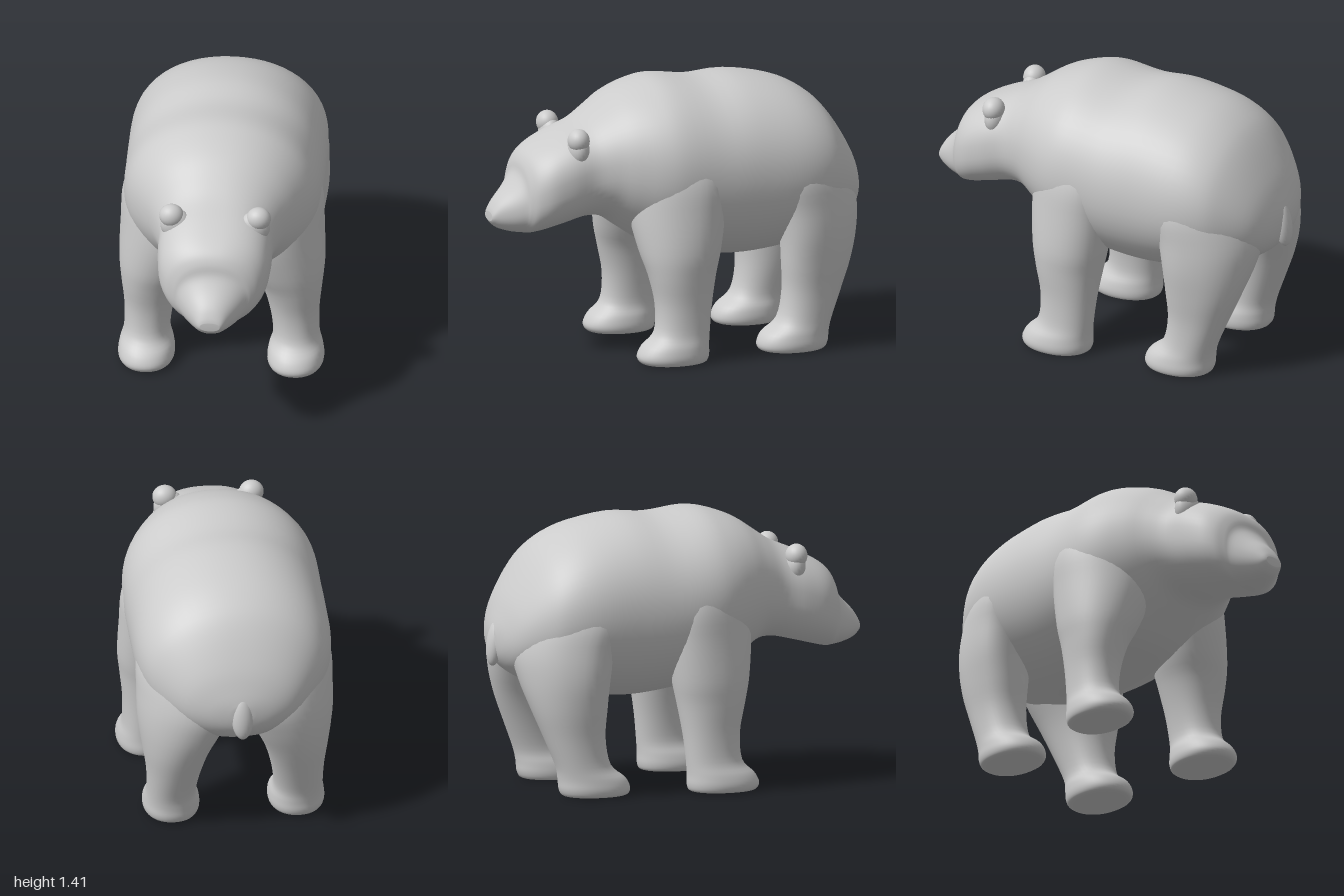
import * as THREE from 'three';

const material = new THREE.MeshStandardMaterial({ color: 0xcccccc });

// Smooth interpolation through four neighbouring values
function spline(a, b, c, d, t) {
  return b + 0.5 * t * (c - a + t * (2 * a - 5 * b + 4 * c - d + t * (3 * (b - c) + d - a)));
}

// Skin through rounded sections; each row is [t, uMin, uMax, vMin, vMax, skew, power].
// Along z: u = x, v = y.  Along y: u = z, v = x.
function loft(name, axis, rows, sides, steps = 4) {
  const rings = [];
  for (let i = 0; i < rows.length - 1; i++) {
    const r = [-1, 0, 1, 2].map(k => rows[Math.min(Math.max(i + k, 0), rows.length - 1)]);
    for (let s = 0; s < steps; s++) {
      rings.push(r[1].map((_, k) => spline(r[0][k], r[1][k], r[2][k], r[3][k], s / steps)));
    }
  }
  rings.push(rows[rows.length - 1]);

  const positions = [], index = [];
  const add = (u, v, t) => positions.push(...(axis === 'z' ? [u, v, t] : [v, t, u]));
  for (const [t, u0, u1, v0, v1, skew, power] of rings) {
    const round = w => Math.sign(w) * Math.abs(w) ** (2 / power);
    for (let j = 0; j < sides; j++) {
      const a = (j / sides) * Math.PI * 2;
      const c = round(Math.cos(a)), s = round(Math.sin(a));
      add((u0 + u1) / 2 + (u1 - u0) / 2 * c, (v0 + v1) / 2 + (v1 - v0) / 2 * s + skew * c, t);
    }
  }
  for (let i = 0; i < rings.length - 1; i++) {
    for (let j = 0; j < sides; j++) {
      const a = i * sides + j, b = i * sides + (j + 1) % sides;
      index.push(a, b, a + sides, b, b + sides, a + sides);
    }
  }
  // End caps
  const first = rings.length * sides, lastRing = first - sides;
  for (const [t, u0, u1, v0, v1] of [rings[0], rings[rings.length - 1]]) {
    add((u0 + u1) / 2, (v0 + v1) / 2, t);
  }
  for (let j = 0; j < sides; j++) {
    const k = (j + 1) % sides;
    index.push(first, k, j, first + 1, lastRing + j, lastRing + k);
  }
  const geometry = new THREE.BufferGeometry();
  geometry.setAttribute('position', new THREE.Float32BufferAttribute(positions, 3));
  geometry.setIndex(index);
  geometry.computeVertexNormals();
  const mesh = new THREE.Mesh(geometry, material);
  mesh.name = name;
  return mesh;
}

function ellipsoid(name, x, y, z, rx, ry, rz) {
  const geometry = new THREE.SphereGeometry(1, 24, 16).scale(rx, ry, rz);
  const mesh = new THREE.Mesh(geometry, material);
  mesh.name = name;
  mesh.position.set(x, y, z);
  return mesh;
}

// Body, neck and head from rump to nose: z, half width, bottom, top, squareness
const BODY = [
  [-0.97, 0.05, 0.74, 0.83, 2], [-0.95, 0.17, 0.68, 0.90, 2], [-0.90, 0.29, 0.62, 1.02, 2.1],
  [-0.80, 0.40, 0.56, 1.18, 2.1], [-0.70, 0.465, 0.53, 1.28, 2.1], [-0.55, 0.50, 0.49, 1.355, 2.1],
  [-0.32, 0.505, 0.465, 1.40, 2.1], [-0.12, 0.505, 0.48, 1.39, 2.1], [0.08, 0.50, 0.52, 1.413, 2.1],
  [0.20, 0.47, 0.57, 1.395, 2.1], [0.32, 0.405, 0.65, 1.35, 2.15], [0.42, 0.34, 0.715, 1.285, 2.2],
  [0.52, 0.295, 0.725, 1.22, 2.3], [0.64, 0.29, 0.70, 1.17, 2.4], [0.74, 0.275, 0.675, 1.12, 2.4],
  [0.805, 0.24, 0.66, 1.075, 2.3], [0.838, 0.20, 0.66, 1.025, 2.2], [0.855, 0.175, 0.662, 0.965, 2.2],
  [0.90, 0.138, 0.67, 0.905, 2.2], [0.96, 0.09, 0.69, 0.845, 2.2], [0.99, 0.065, 0.715, 0.80, 2.2],
  [1.0, 0.05, 0.73, 0.775, 2.2],
];

// Legs from sole to shoulder or hip: y, back z, front z, inner x, outer x, skew
const FRONT_LEG = [
  [0.0, -0.01, 0.28, 0.27, 0.49, 0], [0.008, -0.035, 0.315, 0.245, 0.515, 0],
  [0.04, -0.045, 0.33, 0.235, 0.525, 0], [0.09, -0.045, 0.305, 0.242, 0.518, 0],
  [0.16, -0.05, 0.24, 0.262, 0.498, 0], [0.30, -0.065, 0.23, 0.245, 0.497, 0],
  [0.45, -0.09, 0.26, 0.205, 0.512, 0], [0.58, -0.115, 0.295, 0.15, 0.523, -0.02],
  [0.78, -0.14, 0.325, 0.09, 0.512, -0.05], [0.96, -0.14, 0.31, 0.10, 0.496, -0.06],
  [1.16, -0.08, 0.24, 0.16, 0.425, -0.04],
];
const HIND_LEG = [
  [0.0, -0.67, -0.39, 0.21, 0.43, 0], [0.008, -0.70, -0.355, 0.185, 0.455, 0],
  [0.04, -0.715, -0.345, 0.175, 0.465, 0], [0.09, -0.72, -0.37, 0.18, 0.46, 0],
  [0.16, -0.735, -0.45, 0.198, 0.45, 0], [0.30, -0.79, -0.48, 0.18, 0.455, 0.01],
  [0.45, -0.85, -0.475, 0.145, 0.475, 0.03], [0.60, -0.897, -0.465, 0.09, 0.488, 0.06],
  [0.75, -0.915, -0.44, 0.03, 0.485, 0.08], [0.92, -0.86, -0.40, 0.04, 0.475, 0.08],
  [1.10, -0.74, -0.42, 0.10, 0.39, 0.04],
];

export function createModel() {
  const bear = new THREE.Group();
  bear.name = 'bear';
  const body = BODY.map(([z, w, low, high, power]) => [z, -w, w, low, high, 0, power]);
  bear.add(loft('bodyAndHead', 'z', body, 56));

  for (const side of [1, -1]) {
    const label = side > 0 ? 'left' : 'right';
    const place = rows => rows.map(([y, back, front, inner, outer, skew]) => side > 0
      ? [y, back, front, inner, outer, skew, 2.15]
      : [y, back, front, -outer, -inner, -skew, 2.15]);
    bear.add(loft(label + 'FrontLeg', 'y', place(FRONT_LEG), 40));
    bear.add(loft(label + 'HindLeg', 'y', place(HIND_LEG), 40));

    // Round ear on a broad base
    const ear = new THREE.Group();
    ear.name = label + 'Ear';
    ear.add(ellipsoid('earTip', side * 0.222, 1.16, 0.595, 0.063, 0.06, 0.056));
    ear.add(ellipsoid('earBase', side * 0.2, 1.105, 0.59, 0.08, 0.085, 0.056));
    bear.add(ear);
  }

  // Stubby tail hanging against the rump
  const tail = ellipsoid('tail', 0, 0.762, -0.95, 0.056, 0.122, 0.044);
  tail.rotation.x = 0.15;
  bear.add(tail);
  return bear;
}
